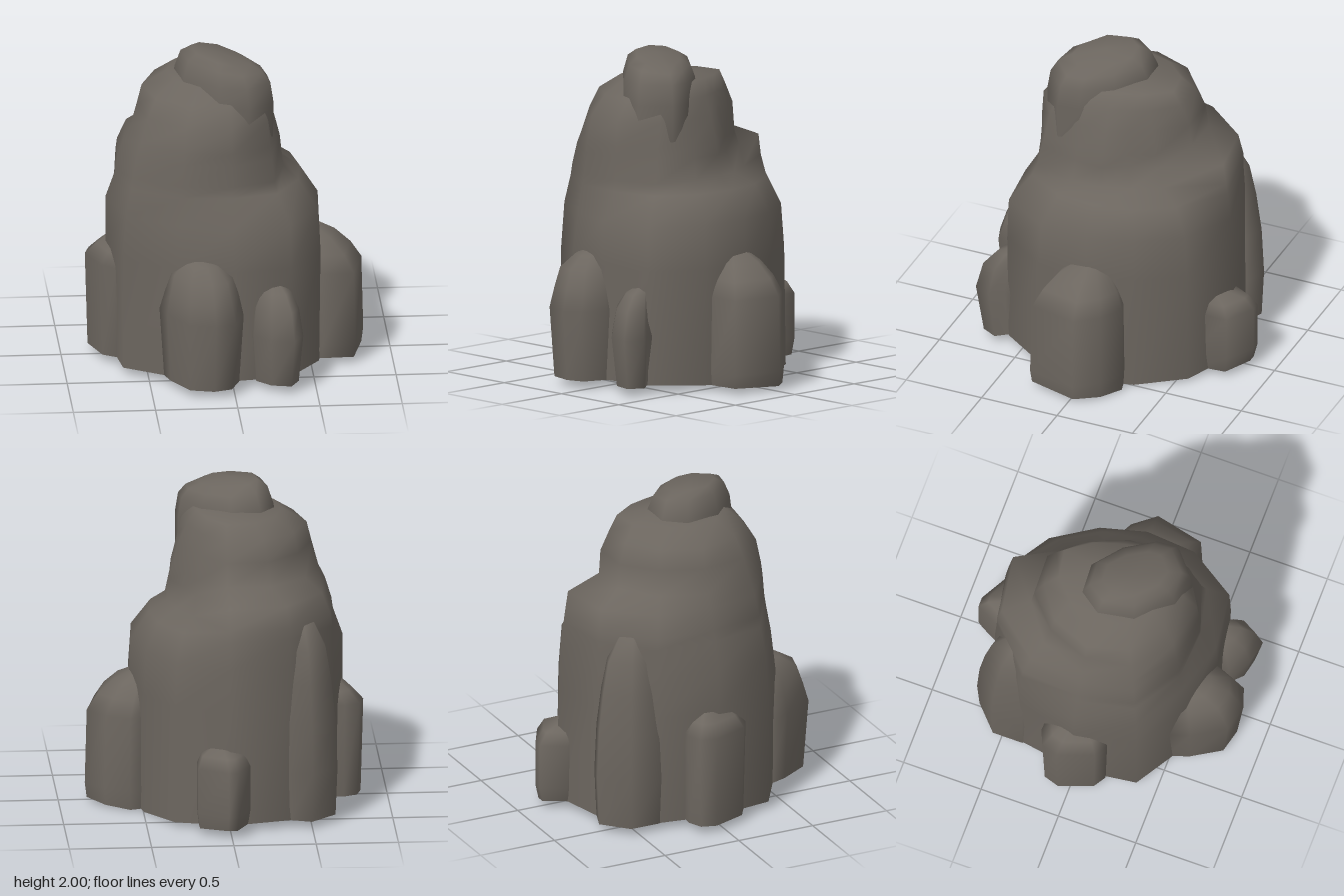
import * as THREE from 'three';

const stone = new THREE.MeshStandardMaterial({ color: 0x6c665f });
stone.name = 'grey stone';

// The underside bulges gently down to its lowest point at the back left
const ground = (x, z) => 0.048 * Math.min(1, Math.hypot(x - 0.5, z + 0.25) / 0.7);

// Skins a stack of rings (each a list of [x, y, z]) with smooth sides, a domed top and a crisp base
function loft(name, rings, tip, foot) {
  const n = rings[0].length;
  const pos = rings.flat(2);
  const index = [];
  for (let i = 0; i < rings.length - 1; i++) {
    for (let j = 0; j < n; j++) {
      const k = (j + 1) % n;
      const a = i * n + j, b = i * n + k, c = a + n, d = b + n;
      index.push(a, c, b, b, c, d);
    }
  }
  const last = (rings.length - 1) * n;
  const top = pos.length / 3;
  pos.push(...tip);
  for (let j = 0; j < n; j++) index.push(last + j, top, last + (j + 1) % n);
  const low = pos.length / 3;
  pos.push(...rings[0].flat(), ...foot);
  for (let j = 0; j < n; j++) index.push(low + j, low + (j + 1) % n, low + n);

  const g = new THREE.BufferGeometry();
  g.setAttribute('position', new THREE.Float32BufferAttribute(pos, 3));
  g.setIndex(index);
  g.computeVertexNormals();
  const mesh = new THREE.Mesh(g, stone);
  mesh.name = name;
  return mesh;
}

// An outcrop: one plan outline, shrunk towards an anchor inside the rock at each [height, scale, tilt]
function outcrop(name, [ax, az], outline, levels) {
  const rings = levels.map(([y, s, tilt = 0]) => outline.map(([px, pz]) => {
    const x = ax + (px - ax) * s, z = az + (pz - az) * s;
    return [x, Math.max(y - tilt * x, ground(x, z)), z];
  }));
  const [yTop, , tiltTop = 0] = levels[levels.length - 1];
  return loft(name, rings, [ax, yTop - tiltTop * ax + 0.015, az], [ax, Math.max(levels[0][0], ground(ax, az)), az]);
}

// Main mass: height, then radii every 30 degrees from +x towards +z
function mainRock() {
  const levels = [
    [0, 0.58, 0.63, 0.70, 0.66, 0.66, 0.75, 0.70, 0.74, 0.75, 0.74, 0.66, 0.57],
    [0.75, 0.57, 0.64, 0.71, 0.66, 0.67, 0.75, 0.73, 0.75, 0.74, 0.72, 0.65, 0.57],
    [1.02, 0.56, 0.62, 0.70, 0.65, 0.64, 0.73, 0.73, 0.75, 0.74, 0.71, 0.63, 0.56],
    [1.19, 0.45, 0.49, 0.56, 0.55, 0.61, 0.69, 0.67, 0.74, 0.73, 0.69, 0.54, 0.47],
    [1.26, 0.34, 0.39, 0.53, 0.55, 0.60, 0.68, 0.66, 0.73, 0.73, 0.68, 0.40, 0.34],
    [1.39, 0.33, 0.36, 0.50, 0.54, 0.59, 0.65, 0.62, 0.67, 0.70, 0.66, 0.37, 0.29],
    [1.47, 0.31, 0.35, 0.48, 0.54, 0.58, 0.62, 0.58, 0.56, 0.52, 0.45, 0.34, 0.28],
    [1.62, 0.27, 0.31, 0.45, 0.53, 0.55, 0.57, 0.54, 0.51, 0.50, 0.44, 0.30, 0.25],
    [1.74, 0.22, 0.28, 0.39, 0.44, 0.47, 0.51, 0.51, 0.48, 0.44, 0.38, 0.26, 0.21],
    [1.83, 0.16, 0.21, 0.29, 0.33, 0.35, 0.37, 0.36, 0.35, 0.35, 0.33, 0.21, 0.16],
  ];
  const rings = levels.map(([y, ...radii]) => radii.map((r, j) => {
    const a = j * Math.PI / 6;
    const x = r * Math.cos(a), z = r * Math.sin(a);
    return [x, Math.max(y, ground(x, z)), z];
  }));
  return loft('mainRock', rings, [-0.05, 1.86, 0], [0, ground(0, 0), 0]);
}

export function createModel() {
  const group = new THREE.Group();
  group.name = 'rock';

  // Outlines run from +x towards +z
  group.add(
    mainRock(),
    outcrop('summit', [-0.06, 0.14],
      [[0.13, 0], [0.24, 0.18], [0.25, 0.31], [0.1, 0.44], [-0.07, 0.4], [-0.27, 0.22], [-0.31, 0], [-0.22, -0.13], [-0.04, -0.14]],
      [[1.5, 1.05], [1.72, 1.06], [1.85, 1, 0.02], [1.93, 0.86, 0.12], [1.965, 0.62, 0.17]]),
    outcrop('leftButtress', [0.45, 0],
      [[0.4, -0.2], [0.58, -0.25], [0.73, -0.17], [0.84, -0.03], [0.77, 0.28], [0.57, 0.28], [0.4, 0.2]],
      [[0, 0.97], [0.12, 1], [0.58, 0.97], [0.68, 0.8], [0.77, 0.55], [0.82, 0.3]]),
    outcrop('rightButtress', [-0.58, 0],
      [[-0.5, 0.15], [-0.69, 0.2], [-0.77, 0.15], [-0.85, -0.07], [-0.82, -0.17], [-0.73, -0.21], [-0.5, -0.2]],
      [[0, 0.94], [0.63, 1], [0.7, 0.75], [0.76, 0.5], [0.85, 0.2]]),
    outcrop('backButtress', [0.06, -0.6],
      [[-0.06, -0.55], [-0.12, -0.72], [-0.04, -0.87], [0.02, -0.87], [0.2, -0.77], [0.2, -0.55]],
      [[0, 0.92], [0.14, 1], [0.42, 1], [0.49, 0.8], [0.52, 0.4]]),
    outcrop('backRightButtress', [-0.43, -0.42],
      [[-0.3, -0.35], [-0.55, -0.25], [-0.66, -0.36], [-0.66, -0.56], [-0.5, -0.71], [-0.36, -0.66]],
      [[0, 0.95], [0.35, 1], [0.65, 0.95], [0.9, 0.84], [1.1, 0.7], [1.25, 0.4]]),
    outcrop('frontRightButtress', [-0.2, 0.5],
      [[0.06, 0.5], [0.06, 0.68], [0, 0.83], [-0.12, 0.87], [-0.28, 0.83], [-0.4, 0.63], [-0.45, 0.48]],
      [[0, 0.9], [0.48, 1], [0.6, 0.9], [0.72, 0.78], [0.79, 0.48], [0.82, 0.2]]),
    outcrop('frontLeftButtress', [0.25, 0.52],
      [[0.38, 0.5], [0.36, 0.63], [0.42, 0.71], [0.36, 0.82], [0.22, 0.79], [0.12, 0.69], [0.1, 0.5]],
      [[0, 0.85], [0.35, 1], [0.52, 0.86], [0.61, 0.6], [0.65, 0.3]]),
  );
  return group;
}
